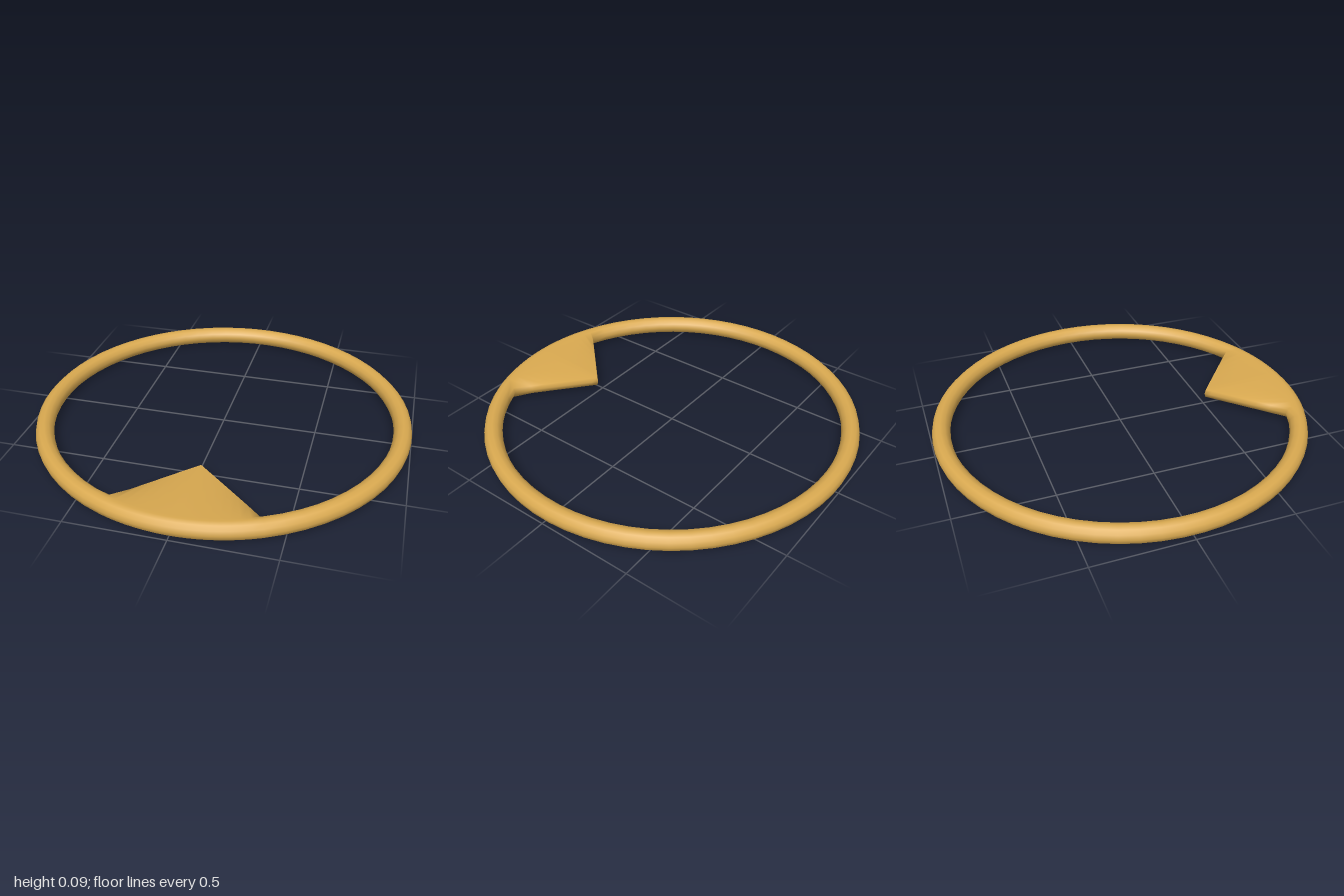
import * as THREE from 'three';

const RING = 0.9525, TUBE = 0.0475, SIDES = 12;

// Corners of the pointed tab as [x, z]
const LEFT = [0.375, 0.82], TIP = [0.02, 0.515], RIGHT = [-0.31, 0.845];
const angleOf = ([x, z]) => Math.atan2(x, z);

// Distance from the centre to the line a-b along angle t
function edgeRadius(t, a, b) {
  const dx = b[0] - a[0], dz = b[1] - a[1];
  return (a[0] * dz - a[1] * dx) / (Math.sin(t) * dz - Math.cos(t) * dx);
}

// Stations around the ring, each with its angle and inner radius
function stations() {
  const list = [];
  const add = (from, to, count, radius) => {
    for (let i = 0; i < count; i++) {
      const t = from + ((to - from) * i) / count;
      list.push({ t, inner: radius(t) });
    }
  };
  const r = angleOf(RIGHT), m = angleOf(TIP), l = angleOf(LEFT);
  add(r, m, 8, (t) => edgeRadius(t, RIGHT, TIP));
  add(m, l, 8, (t) => edgeRadius(t, TIP, LEFT));
  add(l, r + Math.PI * 2, 56, () => RING - TUBE);
  return list;
}

// Round tube whose inner side is drawn inwards to form the flat tab
function ringGeometry() {
  const rings = stations(), n = rings.length;
  const positions = [], index = [];
  rings.forEach(({ t, inner }, i) => {
    const pull = Math.max(0, RING - TUBE - inner);
    for (let j = 0; j < SIDES; j++) {
      const phi = (j / SIDES) * Math.PI * 2;
      let radius = RING + TUBE * Math.cos(phi);
      if (Math.cos(phi) < -0.6) radius -= pull;
      positions.push(radius * Math.sin(t), TUBE + TUBE * Math.sin(phi), radius * Math.cos(t));
      const i2 = (i + 1) % n, j2 = (j + 1) % SIDES;
      const a = i * SIDES + j, b = i2 * SIDES + j, c = i2 * SIDES + j2, d = i * SIDES + j2;
      index.push(a, b, c, a, c, d);
    }
  });
  const geometry = new THREE.BufferGeometry();
  geometry.setAttribute('position', new THREE.Float32BufferAttribute(positions, 3));
  geometry.setIndex(index);
  geometry.computeVertexNormals();
  return geometry;
}

export function createModel() {
  const group = new THREE.Group();
  group.name = 'pointedRing';
  const material = new THREE.MeshStandardMaterial({ color: 0xd9a950 });
  const ring = new THREE.Mesh(ringGeometry(), material);
  ring.name = 'ringWithPointedTab';
  group.add(ring);
  return group;
}
